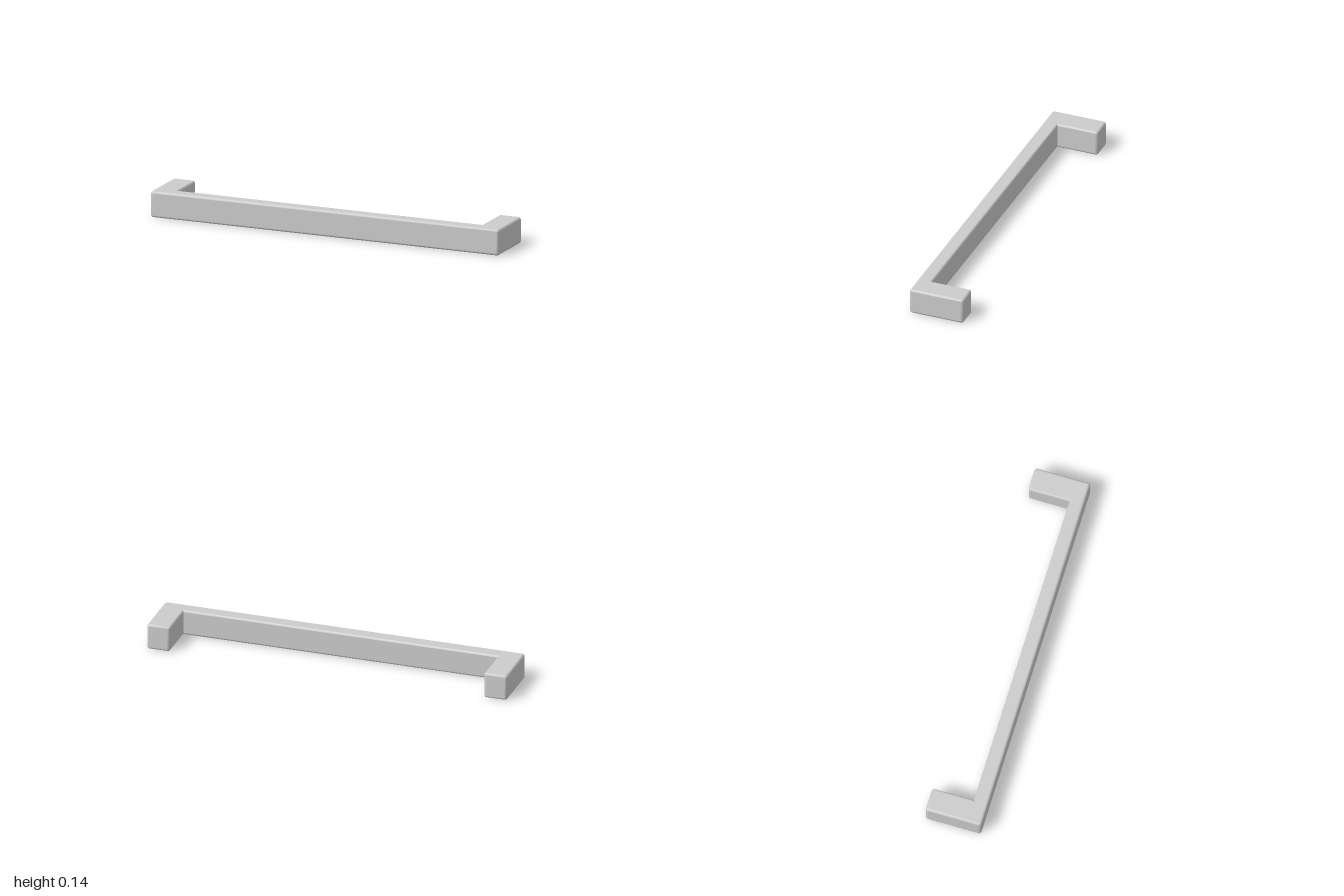
import * as THREE from 'three';
import { toCreasedNormals } from 'three/addons/utils/BufferGeometryUtils.js';

const HEIGHT = 0.141, DEPTH = 0.152, BEVEL = 0.012, RADIUS = 0.014;
const BAR_BACK = 0.075, LEG_INNER = 0.873;

// Closed outline with convex corners rounded, reflex ones left sharp
function roundedOutline(corners) {
  const pts = corners.map(([x, y]) => new THREE.Vector2(x, y));
  const shape = new THREE.Shape();
  pts.forEach((p, i) => {
    const prev = pts[(i + pts.length - 1) % pts.length];
    const next = pts[(i + 1) % pts.length];
    const toPrev = prev.clone().sub(p).normalize();
    const toNext = next.clone().sub(p).normalize();
    const convex = toNext.cross(toPrev) > 0;
    const a = p.clone().addScaledVector(toPrev, convex ? RADIUS : 0);
    const b = p.clone().addScaledVector(toNext, convex ? RADIUS : 0);
    if (i === 0) shape.moveTo(a.x, a.y);
    else shape.lineTo(a.x, a.y);
    if (convex) {
      const c = a.clone().add(b).sub(p);
      const start = Math.atan2(a.y - c.y, a.x - c.x);
      shape.absarc(c.x, c.y, RADIUS, start, start + Math.PI / 2, false);
    }
  });
  shape.closePath();
  return shape;
}

// Smooth the rounded edges while the broad faces stay flat
function smoothEdges(geometry) {
  const g = toCreasedNormals(geometry, 0.6);
  const pos = g.attributes.position, nor = g.attributes.normal;
  const tri = new THREE.Triangle(), n = new THREE.Vector3();
  for (let i = 0; i < pos.count; i += 3) {
    tri.setFromAttributeAndIndices(pos, i, i + 1, i + 2);
    tri.getNormal(n);
    if (Math.max(Math.abs(n.x), Math.abs(n.y), Math.abs(n.z)) > 0.9999) {
      for (let k = 0; k < 3; k++) nor.setXYZ(i + k, n.x, n.y, n.z);
    }
  }
  return g;
}

export function createModel() {
  const group = new THREE.Group();
  group.name = 'pullHandle';

  // One-piece grip bar with a mounting leg at each end, seen from above
  const outline = roundedOutline([
    [-1, -DEPTH], [1, -DEPTH], [1, DEPTH], [LEG_INNER, DEPTH],
    [LEG_INNER, -BAR_BACK], [-LEG_INNER, -BAR_BACK], [-LEG_INNER, DEPTH], [-1, DEPTH],
  ]);
  const geometry = new THREE.ExtrudeGeometry(outline, {
    depth: HEIGHT - 2 * BEVEL,
    bevelThickness: BEVEL,
    bevelSize: BEVEL,
    bevelOffset: -BEVEL,
    bevelSegments: 5,
    curveSegments: 5,
  });
  geometry.rotateX(-Math.PI / 2).translate(0, BEVEL, 0);

  const handle = new THREE.Mesh(
    smoothEdges(geometry),
    new THREE.MeshStandardMaterial({ color: 0xcccccc })
  );
  handle.name = 'gripBarWithLegs';
  group.add(handle);
  return group;
}
